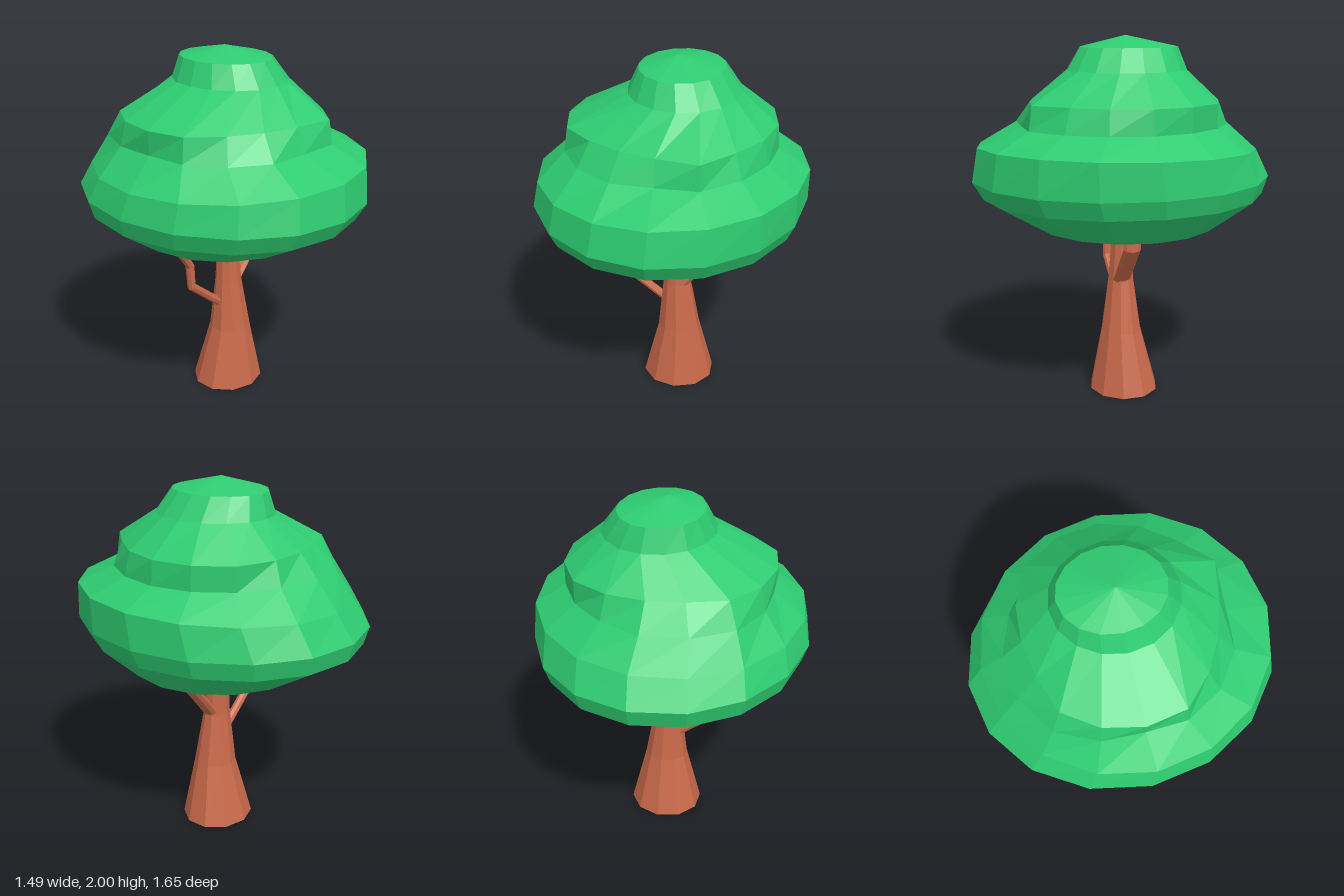
import * as THREE from 'three';

// Skin a stack of equal-sized point rings, closing both ends with fans to a point
function loft(rings, start, end, material, name) {
  const pos = [];
  const tri = (...pts) => pts.forEach(p => pos.push(p.x, p.y, p.z));
  const n = rings[0].length;
  for (let i = 0; i < n; i++) {
    const j = (i + 1) % n;
    tri(start, rings[0][j], rings[0][i]);
    for (let k = 0; k < rings.length - 1; k++) {
      const lo = rings[k], hi = rings[k + 1];
      tri(lo[i], lo[j], hi[j]);
      tri(lo[i], hi[j], hi[i]);
    }
    const top = rings[rings.length - 1];
    tri(end, top[i], top[j]);
  }
  const geo = new THREE.BufferGeometry();
  geo.setAttribute('position', new THREE.Float32BufferAttribute(pos, 3));
  geo.computeVertexNormals();
  const mesh = new THREE.Mesh(geo, material);
  mesh.name = name;
  return mesh;
}

// Horizontal ring from its extents; tilt raises the +x and +z sides
function extentRing(sides, y, x0, x1, z0, z1, tiltX = 0, tiltZ = 0) {
  return Array.from({ length: sides }, (_, i) => {
    const a = i / sides * Math.PI * 2, s = Math.sin(a), c = Math.cos(a);
    return new THREE.Vector3(
      (x0 + x1) / 2 + s * (x1 - x0) / 2,
      y + s * tiltX + c * tiltZ,
      (z0 + z1) / 2 + c * (z1 - z0) / 2);
  });
}

// Horizontal ring with one radius per direction, from the front toward +x
function radiusRing(y, radii) {
  return radii.map((r, i) => {
    const a = i / radii.length * Math.PI * 2;
    return new THREE.Vector3(Math.sin(a) * r, y, Math.cos(a) * r);
  });
}

// Bent limb along a path in the xy plane, with its own thickness across and in depth
function limb(path, z, across, depth, material, name) {
  const pts = path.map(([x, y]) => new THREE.Vector3(x, y, z));
  const rings = pts.map((p, k) => {
    const d = pts[Math.min(k + 1, pts.length - 1)].clone().sub(pts[Math.max(k - 1, 0)]).normalize();
    return Array.from({ length: 8 }, (_, i) => {
      const a = i / 8 * Math.PI * 2, s = Math.sin(a) * across;
      return new THREE.Vector3(p.x + d.y * s, p.y - d.x * s, p.z + Math.cos(a) * depth);
    });
  });
  return loft(rings, pts[0], pts[pts.length - 1], material, name);
}

export function createModel() {
  const tree = new THREE.Group();
  tree.name = 'tree';
  const leaf = new THREE.MeshStandardMaterial({ color: 0x2ecc71, flatShading: true });
  const bark = new THREE.MeshStandardMaterial({ color: 0xc8694a, flatShading: true });

  // Tiered crown with an uneven ledge around its middle
  const S = 16;
  const crown = [
    extentRing(S, 0.98, -0.48, 0.54, -0.52, 0.48),
    extentRing(S, 1.14, -0.71, 0.70, -0.80, 0.76),
    extentRing(S, 1.24, -0.745, 0.74, -0.83, 0.82),
    extentRing(S, 1.405, -0.71, 0.74, -0.74, 0.79, 0.025, 0.02),
    radiusRing(1.53, [0.55, 0.6, 0.58, 0.57, 0.57, 0.57, 0.57, 0.58,
      0.61, 0.62, 0.62, 0.58, 0.54, 0.57, 0.58, 0.58]),
    radiusRing(1.66, [0.5, 0.58, 0.53, 0.54, 0.56, 0.57, 0.57, 0.53,
      0.5, 0.5, 0.55, 0.55, 0.55, 0.55, 0.5, 0.48]),
    extentRing(S, 1.82, -0.23, 0.37, -0.34, 0.31),
    extentRing(S, 1.94, -0.175, 0.28, -0.30, 0.235),
  ];
  tree.add(loft(crown, new THREE.Vector3(0.03, 0.92, 0), new THREE.Vector3(0.03, 2, -0.02), leaf, 'crown'));

  // Flared trunk
  const trunk = [
    extentRing(10, 0, -0.165, 0.255, -0.20, 0.19),
    extentRing(10, 0.35, -0.075, 0.17, -0.105, 0.125),
    extentRing(10, 0.65, -0.045, 0.115, -0.065, 0.08),
    extentRing(10, 1, -0.02, 0.09, -0.055, 0.05),
  ];
  tree.add(loft(trunk, new THREE.Vector3(0.04, 0, 0), new THREE.Vector3(0.035, 1, 0), bark, 'trunk'));

  // Broad left branch, slim right branch and its fork
  tree.add(limb([[0.06, 0.63], [0.27, 0.88], [0.27, 1]], 0.015, 0.028, 0.05, bark, 'leftBranch'));
  tree.add(limb([[0, 0.49], [-0.26, 0.7], [-0.27, 0.83], [-0.31, 0.89], [-0.4, 1]], 0, 0.024, 0.026, bark, 'rightBranch'));
  tree.add(limb([[-0.31, 0.88], [-0.26, 0.99]], 0, 0.018, 0.02, bark, 'rightBranchFork'));
  return tree;
}
